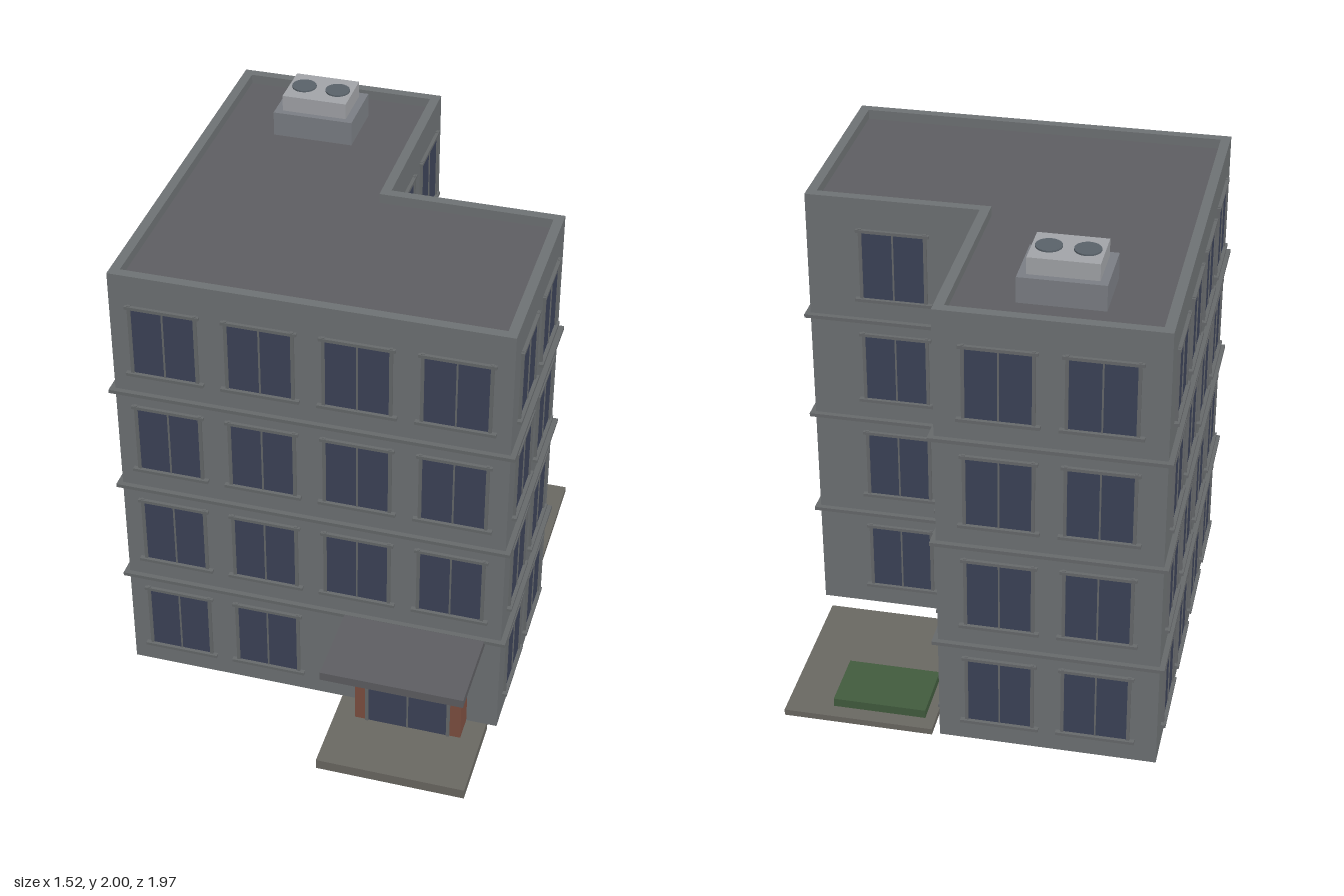
import * as THREE from 'three';

const mat = (color) => new THREE.MeshStandardMaterial({ color, flatShading: true });
const M = {
  wall: mat(0x6e7274), trim: mat(0x66696b), roof: mat(0x5e5e62), glass: mat(0x3c4358),
  brick: mat(0x7d4f40), paving: mat(0x6a6862), green: mat(0x425c3e),
  plinth: mat(0x7b7e84), unit: mat(0xa2a4a8), fan: mat(0x59626a),
};

// Box given by its min and max corners
function box(name, m, [x0, y0, z0], [x1, y1, z1]) {
  const mesh = new THREE.Mesh(new THREE.BoxGeometry(x1 - x0, y1 - y0, z1 - z0), m);
  mesh.position.set((x0 + x1) / 2, (y0 + y1) / 2, (z0 + z1) / 2);
  mesh.name = name;
  return mesh;
}

// L-shaped floor plan, grown outward by d
function plan(d) {
  return [
    [-0.74 - d, -0.96 - d], [0.08 + d, -0.96 - d], [0.08 + d, -0.2 - d],
    [0.74 + d, -0.2 - d], [0.74 + d, 0.62 + d], [-0.74 - d, 0.62 + d],
  ].map(([x, z]) => new THREE.Vector2(x, z));
}

// Slab over the floor plan from y0 to y1, hollow when an inner offset is given
function slab(name, m, d, y0, y1, inner) {
  const shape = new THREE.Shape(plan(d));
  if (inner !== undefined) shape.holes.push(new THREE.Path(plan(inner)));
  const geo = new THREE.ExtrudeGeometry(shape, { depth: y1 - y0, bevelEnabled: false });
  geo.rotateX(Math.PI / 2).translate(0, y1, 0);
  const mesh = new THREE.Mesh(geo, m);
  mesh.name = name;
  return mesh;
}

// Two-pane opening facing +z, standing on its own origin
function glazing(name, w, h, sill) {
  const g = new THREE.Group();
  const x = w / 2, f = 0.012;
  g.name = name;
  g.add(box('glass', M.glass, [-x, 0, -0.01], [x, h, 0.004]));
  g.add(box('mullion', M.trim, [-0.003, 0, 0], [0.003, h, 0.008]));
  for (const s of [-1, 1]) {
    const c = s * (x + f / 2);
    g.add(box('jamb', M.trim, [c - f / 2, sill ? -0.015 : 0, -0.005], [c + f / 2, h + 0.015, 0.01]));
  }
  g.add(box('head', M.trim, [-x - 0.022, h, -0.005], [x + 0.022, h + f, 0.013]));
  if (sill) g.add(box('sill', M.trim, [-x - 0.03, -f, -0.005], [x + 0.03, 0, 0.018]));
  return g;
}

export function createModel() {
  const root = new THREE.Group();
  root.name = 'apartmentBuilding';

  // Main body, parapet and roof
  root.add(slab('walls', M.wall, 0, 0.045, 1.825));
  root.add(slab('parapet', M.wall, 0, 1.825, 1.87, -0.037));
  root.add(slab('roofDeck', M.roof, -0.037, 1.82, 1.832));

  // Belt courses between the floors
  for (const y of [0.484, 0.924, 1.364]) root.add(slab('beltCourse', M.trim, 0.02, y - 0.007, y + 0.007, -0.01));

  // Windows: wall centre, facing angle and offsets along the wall
  const four = [-0.54, -0.18, 0.18, 0.54], two = [-0.18, 0.18];
  const facades = [
    { name: 'front', at: [0, 0.62], turn: 0, offsets: four },
    { name: 'left', at: [0.74, 0.21], turn: Math.PI / 2, offsets: two },
    { name: 'leftInner', at: [0.08, -0.58], turn: Math.PI / 2, offsets: two },
    { name: 'back', at: [-0.33, -0.96], turn: Math.PI, offsets: two },
    { name: 'backInner', at: [0.41, -0.2], turn: Math.PI, offsets: [0] },
    { name: 'right', at: [-0.74, -0.17], turn: -Math.PI / 2, offsets: four },
  ];
  for (const { name, at, turn, offsets } of facades) {
    const facade = new THREE.Group();
    facade.name = name + 'Windows';
    facade.position.set(at[0], 0, at[1]);
    facade.rotation.y = turn;
    for (let floor = 0; floor < 4; floor++) {
      for (const x of offsets) {
        if (name === 'front' && floor === 0 && x > 0) continue; // entrance bay
        const win = glazing('window', 0.235, 0.275, true);
        win.position.set(x, 0.14 + 0.44 * floor, 0);
        facade.add(win);
      }
    }
    root.add(facade);
  }

  // Entrance
  const entrance = new THREE.Group();
  entrance.name = 'entrance';
  entrance.add(box('platform', M.paving, [0.12, 0.003, 0.6], [0.7, 0.045, 0.985]));
  entrance.add(box('brickPortal', M.brick, [0.2, 0, 0.61], [0.62, 0.456, 0.72]));
  entrance.add(box('canopy', M.roof, [0.135, 0.455, 0.61], [0.68, 0.49, 0.97]));
  const door = glazing('door', 0.31, 0.35, false);
  door.position.set(0.41, 0.048, 0.72);
  entrance.add(door);
  root.add(entrance);

  // Courtyard
  root.add(box('patio', M.paving, [0.12, 0.005, -0.925], [0.7, 0.03, -0.245]));
  root.add(box('planting', M.green, [0.16, 0.03, -0.865], [0.52, 0.065, -0.625]));

  // Rooftop cooling unit
  const cooler = new THREE.Group();
  cooler.name = 'rooftopUnit';
  cooler.add(box('unitPlinth', M.plinth, [-0.49, 1.825, -0.79], [-0.175, 1.93, -0.545]));
  cooler.add(box('unitBody', M.unit, [-0.46, 1.93, -0.762], [-0.205, 1.994, -0.57]));
  for (const x of [-0.4, -0.265]) {
    const fan = new THREE.Mesh(new THREE.CylinderGeometry(0.048, 0.048, 0.012, 20), M.fan);
    fan.position.set(x, 1.994, -0.666);
    fan.name = 'fan';
    cooler.add(fan);
  }
  root.add(cooler);
  return root;
}
